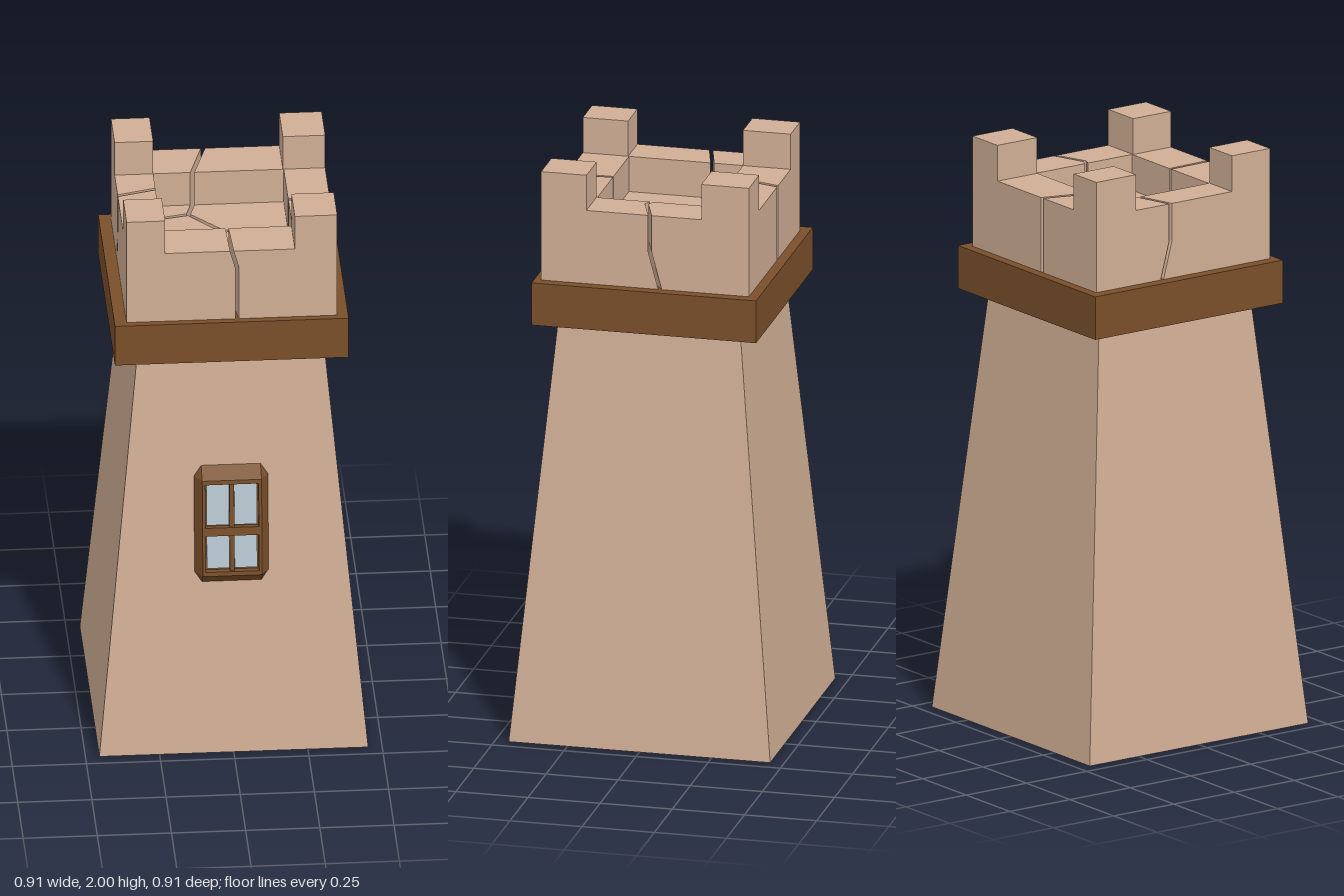
import * as THREE from 'three';

const stone = new THREE.MeshStandardMaterial({ color: 0xd0ae95 });
stone.name = 'sandstone';
const wood = new THREE.MeshStandardMaterial({ color: 0x7a4f2a });
wood.name = 'brown wood';
const glass = new THREE.MeshStandardMaterial({ color: 0xb8c8d2 });
glass.name = 'pale glass';

function add(parent, name, geometry, material, x = 0, y = 0, z = 0) {
  const mesh = new THREE.Mesh(geometry, material);
  mesh.name = name;
  mesh.position.set(x, y, z);
  parent.add(mesh);
  return mesh;
}

function flat(geometry) {
  const g = geometry.index ? geometry.toNonIndexed() : geometry;
  g.computeVertexNormals();
  return g;
}

const shapeOf = (points) => new THREE.Shape(points.map(([x, y]) => new THREE.Vector2(x, y)));

// Upright block from an outline in (x, z), between two heights
function slab(points, bottom, top, steps = 1) {
  const g = new THREE.ExtrudeGeometry(shapeOf(points), { depth: top - bottom, steps, bevelEnabled: false });
  return g.rotateX(Math.PI / 2).translate(0, top, 0);
}

// Let the cracks wander sideways on the outer wall faces
function bendCracks(g) {
  const p = g.attributes.position;
  for (let i = 0; i < p.count; i++) {
    const x = p.getX(i), y = p.getY(i), z = p.getZ(i);
    const lean = THREE.MathUtils.clamp((1.745 - y) / 0.13, 0, 1);
    if (z > 0.36 && Math.abs(x) < 0.05 && y < 1.85) p.setX(i, x + 0.018);
    if (Math.abs(x) > 0.35 && Math.abs(z) < 0.1) p.setZ(i, z - 0.035 * lean);
  }
  return flat(g);
}

function createWindow() {
  const group = new THREE.Group();
  group.name = 'window';
  const depth = 0.05;

  // Frame: eight-sided at the wall, narrowing to a rectangle in front
  const outline = shapeOf([[-0.1, -0.215], [0.1, -0.215], [0.126, -0.175], [0.126, 0.175],
    [0.1, 0.215], [-0.1, 0.215], [-0.126, 0.175], [-0.126, -0.175]]);
  outline.holes.push(new THREE.Path([[-0.09, -0.16], [-0.09, 0.16], [0.09, 0.16], [0.09, -0.16]]
    .map(([x, y]) => new THREE.Vector2(x, y))));
  const frame = new THREE.ExtrudeGeometry(outline, { depth, bevelEnabled: false });
  const p = frame.attributes.position;
  for (let i = 0; i < p.count; i++) {
    if (p.getZ(i) < depth / 2) continue;
    p.setX(i, THREE.MathUtils.clamp(p.getX(i), -0.1, 0.1));
    p.setY(i, THREE.MathUtils.clamp(p.getY(i), -0.175, 0.175));
  }
  add(group, 'windowFrame', flat(frame), wood);

  // Backing board, bars and four panes
  add(group, 'windowBacking', new THREE.BoxGeometry(0.19, 0.33, 0.026), wood, 0, 0, 0.013);
  add(group, 'crossBar', new THREE.BoxGeometry(0.18, 0.03, 0.02), wood, 0, -0.015, 0.036);
  add(group, 'mullion', new THREE.BoxGeometry(0.016, 0.32, 0.014), wood, 0, 0, 0.033);
  for (const x of [-0.047, 0.047]) {
    add(group, 'upperPane', new THREE.BoxGeometry(0.076, 0.15, 0.006), glass, x, 0.079, 0.028);
    add(group, 'lowerPane', new THREE.BoxGeometry(0.076, 0.12, 0.006), glass, x, -0.094, 0.028);
  }
  return group;
}

export function createModel() {
  const tower = new THREE.Group();
  tower.name = 'tower';

  // Tapered square body
  const body = new THREE.CylinderGeometry(0.315 * Math.SQRT2, 0.453 * Math.SQRT2, 1.47, 4, 1);
  add(tower, 'towerBody', flat(body.rotateY(Math.PI / 4)), stone, 0, 0.735, 0);

  // Wooden ledge
  add(tower, 'ledge', new THREE.BoxGeometry(0.788, 0.15, 0.778), wood, -0.002, 1.54, 0);

  // Cracked parapet: four corner walls with gaps between
  const walls = [
    [[-0.355, -0.355], [-0.052, -0.355], [-0.1, -0.19], [-0.225, -0.19], [-0.225, -0.09], [-0.355, -0.053]],
    [[-0.038, -0.355], [0.355, -0.355], [0.355, -0.018], [0.24, 0.022], [0.215, 0.01], [0.215, -0.19], [-0.086, -0.19]],
    [[-0.355, -0.041], [-0.225, -0.078], [-0.225, 0.205], [-0.01, 0.205], [-0.006, 0.365], [-0.355, 0.365]],
    [[0.355, -0.006], [0.355, 0.365], [0.006, 0.365], [0, 0.205], [0.215, 0.205], [0.215, 0.022], [0.24, 0.034]],
  ];
  for (const w of walls) add(tower, 'parapetWall', bendCracks(slab(w, 1.615, 1.875, 4)), stone);

  // Sunken roof floor in four cracked pieces
  const floors = [
    [[-0.225, -0.19], [-0.1, -0.19], [-0.117, -0.13], [-0.225, -0.105]],
    [[-0.086, -0.19], [0.215, -0.19], [0.215, -0.008], [0, -0.008], [-0.104, -0.125]],
    [[-0.225, -0.093], [-0.112, -0.118], [-0.01, 0.004], [-0.01, 0.205], [-0.225, 0.205]],
    [[0, 0.004], [0.215, 0.004], [0.215, 0.205], [0, 0.205]],
  ];
  for (const f of floors) add(tower, 'roofFloor', slab(f, 1.615, 1.75), stone);

  // Corner merlons
  for (const [x0, x1] of [[-0.355, -0.225], [0.212, 0.355]]) {
    for (const [z0, z1] of [[-0.355, -0.19], [0.208, 0.365]]) {
      add(tower, 'merlon', new THREE.BoxGeometry(x1 - x0, 0.125, z1 - z0), stone,
        (x0 + x1) / 2, 1.9375, (z0 + z1) / 2);
    }
  }

  // Window leaning with the front wall
  const win = createWindow();
  win.position.set(-0.003, 0.838, 0.372);
  win.rotation.x = -Math.atan((0.453 - 0.315) / 1.47);
  tower.add(win);

  return tower;
}
